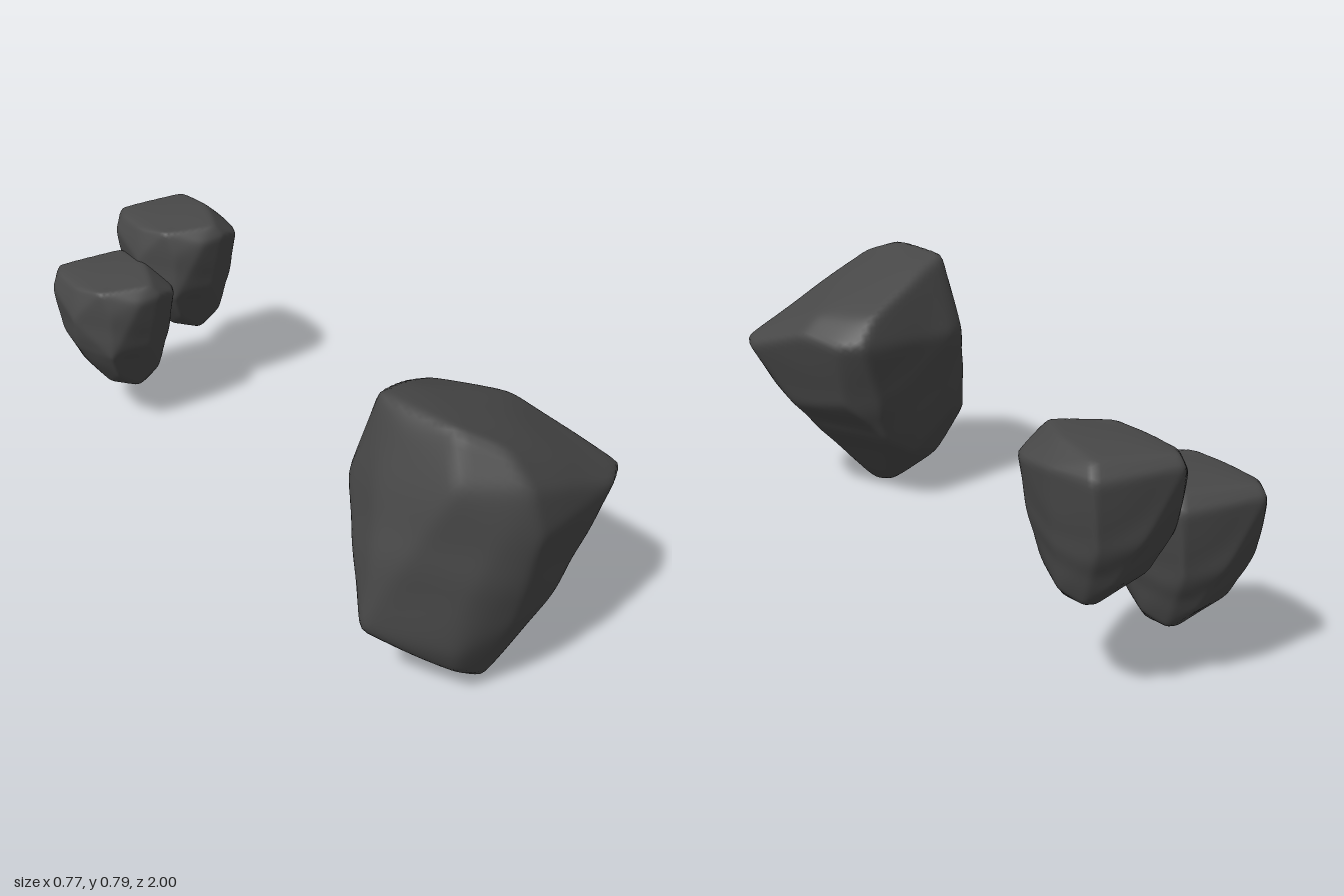
import * as THREE from 'three';
import { mergeVertices } from 'three/addons/utils/BufferGeometryUtils.js';
import { ConvexGeometry } from 'three/addons/geometries/ConvexGeometry.js';

const stone = new THREE.MeshStandardMaterial({ color: 0x484848 });
stone.name = 'dark stone';

// A boulder: a sphere pressed onto the facets spanned by its corner points,
// with softly rounded edges and slight lumps.
function boulderGeometry(corners, lump) {
  const points = corners.map((p) => new THREE.Vector3(...p));
  const bounds = new THREE.Box3().setFromPoints(points);
  const centre = bounds.getCenter(new THREE.Vector3());

  // Facet planes as outward normals divided by their distance from the centre
  const hull = new ConvexGeometry(points).getAttribute('position');
  const facets = [];
  for (let i = 0; i < hull.count; i += 3) {
    const [a, b, c] = [0, 1, 2].map((k) => new THREE.Vector3().fromBufferAttribute(hull, i + k));
    const normal = b.clone().sub(a).cross(c.sub(a));
    if (normal.length() < 1e-6) continue;
    normal.normalize();
    facets.push(normal.divideScalar(normal.dot(a.sub(centre))));
  }

  let geometry = new THREE.IcosahedronGeometry(1, 26);
  geometry.deleteAttribute('normal');
  geometry.deleteAttribute('uv');
  geometry = mergeVertices(geometry, 1e-5);
  const pos = geometry.getAttribute('position');
  const sharpness = 80;
  const d = new THREE.Vector3();
  for (let i = 0; i < pos.count; i++) {
    d.fromBufferAttribute(pos, i).normalize();
    let sum = 0;
    for (const f of facets) sum += Math.max(0, f.dot(d)) ** sharpness;
    const wave = Math.sin(5 * d.x + 3 * d.y + 1) * Math.sin(6 * d.y - 2 * d.z);
    d.multiplyScalar(sum ** (-1 / sharpness) + lump * wave).add(centre);
    pos.setXYZ(i, d.x, d.y, d.z);
  }

  // Make up for the size lost in rounding the corners
  geometry.computeBoundingBox();
  const box = geometry.boundingBox;
  const size = bounds.getSize(new THREE.Vector3()).divide(box.getSize(new THREE.Vector3()));
  geometry.translate(-box.min.x, -box.min.y, -box.min.z);
  geometry.scale(size.x, size.y, size.z);
  geometry.translate(bounds.min.x, bounds.min.y, bounds.min.z);
  geometry.computeVertexNormals();
  return geometry;
}

function addRock(group, name, geometry, x = 0, y = 0) {
  const mesh = new THREE.Mesh(geometry, stone);
  mesh.name = name;
  mesh.position.set(x, y, 0);
  group.add(mesh);
}

export function createModel() {
  const group = new THREE.Group();
  group.name = 'rocks';

  const large = boulderGeometry([
    // sloping crown
    [-0.22, 0.79, 0.82], [-0.23, 0.78, 0.57], [-0.16, 0.755, 0.91], [0.19, 0.64, 0.62], [-0.26, 0.745, 0.68],
    [-0.12, 0.755, 0.56], [-0.05, 0.71, 0.49], [0.08, 0.645, 0.45], [-0.15, 0.67, 0.98], [-0.27, 0.66, 0.86],
    // shoulder
    [-0.12, 0.53, 1.0], [0.18, 0.54, 0.97], [0.305, 0.505, 0.85], [0.285, 0.52, 0.91], [0.25, 0.575, 0.62],
    [0.14, 0.56, 0.42], [0.2, 0.56, 0.48], [-0.2, 0.55, 0.48], [-0.27, 0.54, 0.52], [-0.31, 0.58, 0.65],
    [-0.21, 0.5, 0.94],
    // left flank
    [-0.352, 0.42, 0.69], [-0.385, 0.23, 0.69], [-0.25, 0.35, 0.89], [-0.25, 0.28, 0.54], [-0.24, 0.19, 0.88],
    // tapering underside
    [-0.12, 0.25, 0.945], [0.02, 0.26, 0.94], [0.2, 0.35, 0.88], [0.09, 0.22, 0.85], [0.2, 0.315, 0.76],
    [0.15, 0.36, 0.53], [0.06, 0.36, 0.46], [0.02, 0.23, 0.51], [-0.1, 0.16, 0.54], [-0.25, 0.1, 0.66],
    [-0.21, 0.1, 0.86], [-0.11, 0.035, 0.86], [-0.15, 0.02, 0.72], [-0.1, 0.025, 0.69], [-0.1, 0, 0.78],
    [0.0, 0.105, 0.74], [-0.07, 0.02, 0.78],
  ], 0.003);
  addRock(group, 'largeRock', large);

  const small = boulderGeometry([
    // top
    [0.11, 0.65, -0.72], [0.25, 0.655, -0.65], [0.32, 0.665, -0.78], [0.14, 0.645, -0.98], [0.34, 0.65, -0.93],
    [0.09, 0.635, -0.83], [0.11, 0.64, -0.94],
    // rim
    [0.06, 0.54, -0.8], [0.09, 0.59, -0.95], [0.14, 0.62, -1.0], [0.25, 0.62, -0.975], [0.36, 0.61, -0.96],
    [0.385, 0.615, -0.83], [0.37, 0.6, -0.71], [0.345, 0.6, -0.66], [0.27, 0.62, -0.63], [0.2, 0.61, -0.64],
    [0.12, 0.57, -0.69],
    // flanks
    [0.36, 0.45, -0.82], [0.335, 0.45, -0.69], [0.25, 0.45, -0.66], [0.12, 0.43, -0.69], [0.08, 0.43, -0.82],
    [0.11, 0.45, -0.945], [0.23, 0.45, -0.97], [0.34, 0.45, -0.95],
    // foot
    [0.33, 0.31, -0.8], [0.3, 0.33, -0.705], [0.16, 0.34, -0.72], [0.15, 0.34, -0.9], [0.27, 0.345, -0.93],
    [0.3, 0.28, -0.86], [0.28, 0.26, -0.76], [0.25, 0.258, -0.84], [0.24, 0.27, -0.735], [0.18, 0.28, -0.8],
  ], 0.002);
  addRock(group, 'smallRockLeft', small);
  addRock(group, 'smallRockRight', small, -0.255, -0.125);
  return group;
}
